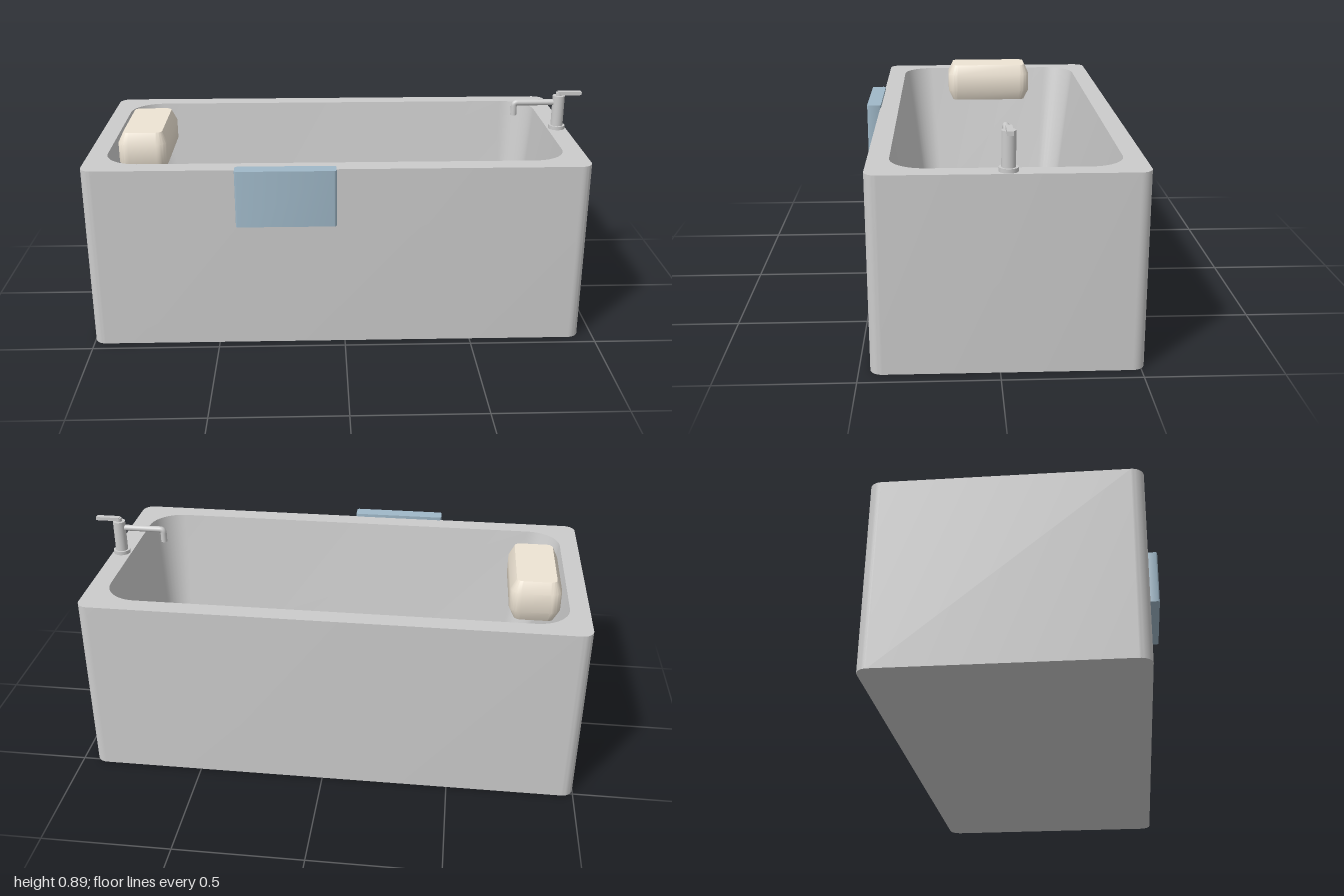
import * as THREE from 'three';
import { toCreasedNormals } from 'three/addons/utils/BufferGeometryUtils.js';

const CORNER_STEPS = 10;

// Rounded rectangle loop at height y
function roundedLoop({ x0, x1, z0, z1, r, y }) {
  const corners = [[x1 - r, z1 - r], [x0 + r, z1 - r], [x0 + r, z0 + r], [x1 - r, z0 + r]];
  const points = [];
  corners.forEach(([cx, cz], c) => {
    for (let i = 0; i <= CORNER_STEPS; i++) {
      const t = (c + i / CORNER_STEPS) * Math.PI / 2;
      points.push([cx + r * Math.cos(t), y, cz + r * Math.sin(t)]);
    }
  });
  return points;
}

// Closed solid skinned through a series of rounded rectangles
function loft(sections) {
  const loops = sections.map(roundedLoop);
  const centre = (s) => [(s.x0 + s.x1) / 2, s.y, (s.z0 + s.z1) / 2];
  const first = centre(sections[0]);
  const last = centre(sections[sections.length - 1]);
  const n = loops[0].length;
  const pos = [];
  for (let i = 0; i < n; i++) {
    const j = (i + 1) % n;
    const end = loops[loops.length - 1];
    pos.push(...first, ...loops[0][i], ...loops[0][j]);
    for (let k = 0; k < loops.length - 1; k++) {
      const a = loops[k], b = loops[k + 1];
      pos.push(...a[i], ...b[i], ...a[j], ...a[j], ...b[i], ...b[j]);
    }
    pos.push(...end[i], ...last, ...end[j]);
  }
  const geometry = new THREE.BufferGeometry();
  geometry.setAttribute('position', new THREE.Float32BufferAttribute(pos, 3));
  return toCreasedNormals(geometry, 0.5);
}

function addMesh(parent, name, geometry, material, x = 0, y = 0, z = 0) {
  const mesh = new THREE.Mesh(geometry, material);
  mesh.name = name;
  mesh.position.set(x, y, z);
  parent.add(mesh);
  return mesh;
}

export function createModel() {
  const model = new THREE.Group();
  model.name = 'bathtub';
  const grey = new THREE.MeshStandardMaterial({ color: 0xcccccc });
  const cream = new THREE.MeshStandardMaterial({ color: 0xeee4d4 });
  const blue = new THREE.MeshStandardMaterial({ color: 0x9fb8c8 });

  // Tub: outer shell, flat rim, and basin with a sloped backrest
  const outer = { x0: -1, x1: 0.945, z0: -0.515, z1: 0.46, r: 0.045 };
  addMesh(model, 'tub', loft([
    { ...outer, y: 0 },
    { ...outer, y: 0.73 },
    { x0: -0.925, x1: 0.867, z0: -0.44, z1: 0.382, r: 0.13, y: 0.73 },
    { x0: -0.78, x1: 0.81, z0: -0.355, z1: 0.295, r: 0.085, y: 0.12 },
  ]), grey);

  // Head cushion with bevelled top and bottom
  const wide = { x0: -0.905, x1: -0.705, z0: -0.22, z1: 0.17, r: 0.045 };
  const narrow = { x0: -0.883, x1: -0.727, z0: -0.198, z1: 0.148, r: 0.025 };
  addMesh(model, 'headCushion', loft([
    { ...narrow, y: 0.61 },
    { ...wide, y: 0.655 },
    { ...wide, y: 0.735 },
    { ...narrow, y: 0.78 },
  ]), cream);

  // Towel over the front side
  const towel = { x0: -0.415, x1: -0.033, z0: 0.457, z1: 0.515, r: 0.01 };
  addMesh(model, 'towel', loft([{ ...towel, y: 0.52 }, { ...towel, y: 0.743 }]), blue);

  // Tap on the foot-end rim
  const tap = new THREE.Group();
  tap.name = 'tap';
  tap.position.set(0.907, 0.73, -0.027);
  model.add(tap);
  const rod = (r, h) => new THREE.CylinderGeometry(r, r, h, 32);
  addMesh(tap, 'tapBase', rod(0.034, 0.015), grey, 0, 0.0075, 0);
  addMesh(tap, 'tapColumn', rod(0.025, 0.14), grey, 0, 0.072, 0);
  addMesh(tap, 'leverPivot', rod(0.012, 0.016), grey, 0, 0.148, 0);
  addMesh(tap, 'lever', new THREE.BoxGeometry(0.097, 0.014, 0.022), grey, 0.0445, 0.152, 0);

  // Spout with a short downturned outlet
  const path = new THREE.CurvePath();
  const v = (x, y) => new THREE.Vector3(x, y, 0);
  path.add(new THREE.LineCurve3(v(0, 0.113), v(-0.172, 0.113)));
  path.add(new THREE.QuadraticBezierCurve3(v(-0.172, 0.113), v(-0.186, 0.113), v(-0.186, 0.099)));
  path.add(new THREE.LineCurve3(v(-0.186, 0.099), v(-0.186, 0.061)));
  addMesh(tap, 'spout', new THREE.TubeGeometry(path, 60, 0.0125, 20), grey);
  addMesh(tap, 'spoutOutlet', rod(0.0125, 0.004), grey, -0.186, 0.062, 0);

  return model;
}
